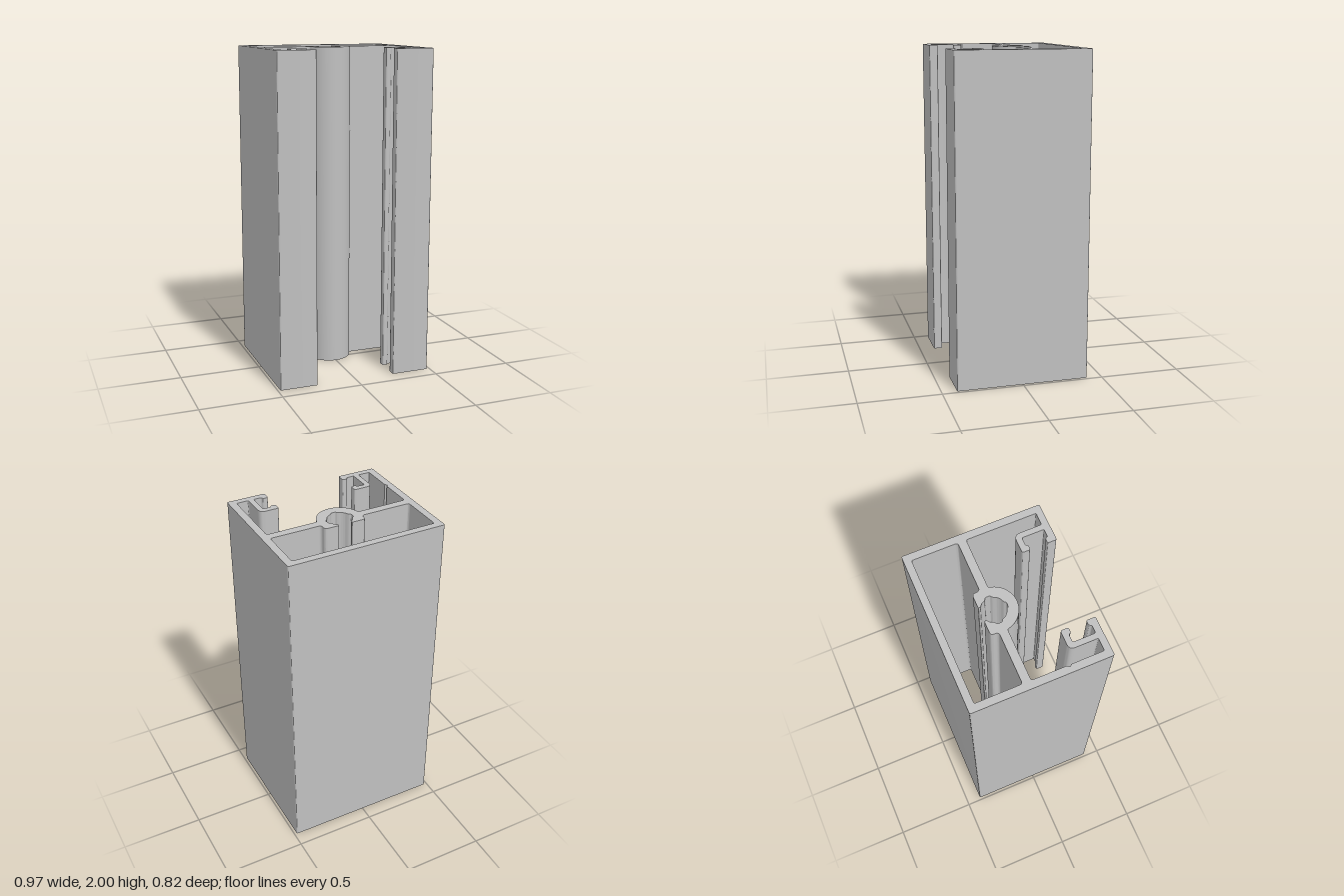
import * as THREE from 'three';
import { toCreasedNormals } from 'three/addons/utils/BufferGeometryUtils.js';

const HEIGHT = 2;

// Mirrors a run of [x, z, radius] corners across x = 0, reversing its order
const mirror = (run) => run.map(([x, z, r]) => [-x, z, r]).reverse();

// Turns [x, z, radius] corners into a closed list of points with rounded corners.
// An extra point beside each rounding keeps the flat walls evenly shaded.
function roundCorners(corners, steps = 6) {
  const points = [];
  const n = corners.length;
  const at = (i) => new THREE.Vector2(corners[(i + n) % n][0], -corners[(i + n) % n][1]);
  for (let i = 0; i < n; i++) {
    const p = at(i);
    const radius = corners[i][2] || 0;
    if (!radius) { points.push(p); continue; }
    const a = at(i - 1).sub(p);
    const b = at(i + 1).sub(p);
    const t = Math.min(radius, a.length() * 0.4, b.length() * 0.4);
    a.setLength(t);
    b.setLength(t);
    points.push(p.clone().addScaledVector(a, 1.15));
    const curve = new THREE.QuadraticBezierCurve(p.clone().add(a), p, p.clone().add(b));
    points.push(...curve.getPoints(steps));
    points.push(p.clone().addScaledVector(b, 1.15));
  }
  return points;
}

export function createModel() {
  const aluminium = new THREE.MeshStandardMaterial({ color: 0xc0c0c0 });
  aluminium.name = 'aluminium grey';

  // Round underside of the screw port, from the centre out to the web
  const port = [];
  for (let i = 0.5; i < 12; i++) {
    const angle = (i / 12) * 1.3;
    port.push([0.133 * Math.sin(angle), -0.07 + 0.133 * Math.cos(angle)]);
  }
  port.push([0.132, -0.048, 0.018], [0.44, -0.048, 0.013]);

  // Side wall, front flange and its hooked channel
  const rim = [
    [0.44, 0.368, 0.008], [0.365, 0.368, 0.008],
    [0.365, 0.202, 0.035], [0.248, 0.202, 0.012],
    [0.248, 0.25, 0.01], [0.278, 0.25, 0.01],
    [0.286, 0.236, 0.004], [0.332, 0.236, 0.008],
    [0.332, 0.368, 0.008], [0.286, 0.368, 0.004],
    [0.278, 0.352, 0.01], [0.248, 0.352, 0.01],
    [0.248, 0.407, 0.01], [0.484, 0.407, 0.01],
    [0.484, -0.409, 0.01],
  ];

  // Small marking groove inside one wall
  const groove = [[-0.44, 0.178], [-0.452, 0.166], [-0.44, 0.154]];

  // Back chamber, open to the screw port between its two lips
  const chamber = [
    [0.44, -0.366, 0.01], [0.44, -0.097, 0.015],
    [0.13, -0.097, 0.018], [0.128, -0.143, 0.034],
    [0.041, -0.143, 0.01], [0.041, -0.129, 0.005],
    [0.058, -0.116, 0.006], [0.068, -0.094, 0.006],
    [0.082, -0.086, 0.008], [0.082, -0.058, 0.008],
    [0.069, -0.05, 0.006], [0.058, -0.027, 0.012],
    [0.04, -0.012, 0.01], [0.021, -0.004, 0.004],
    [0.015, 0.007, 0.005],
  ];

  const shape = new THREE.Shape(
    roundCorners([...port, ...rim, ...mirror(rim), ...groove, ...mirror(port)]));
  shape.holes.push(new THREE.Path(roundCorners([...chamber, ...mirror(chamber)])));

  // Straight upright extrusion
  const extrusion = new THREE.ExtrudeGeometry(shape, { depth: HEIGHT, bevelEnabled: false });
  extrusion.rotateX(-Math.PI / 2);
  const profile = new THREE.Mesh(toCreasedNormals(extrusion, 0.6), aluminium);
  profile.name = 'profile';

  const group = new THREE.Group();
  group.name = 'extrudedProfile';
  group.add(profile);
  return group;
}
